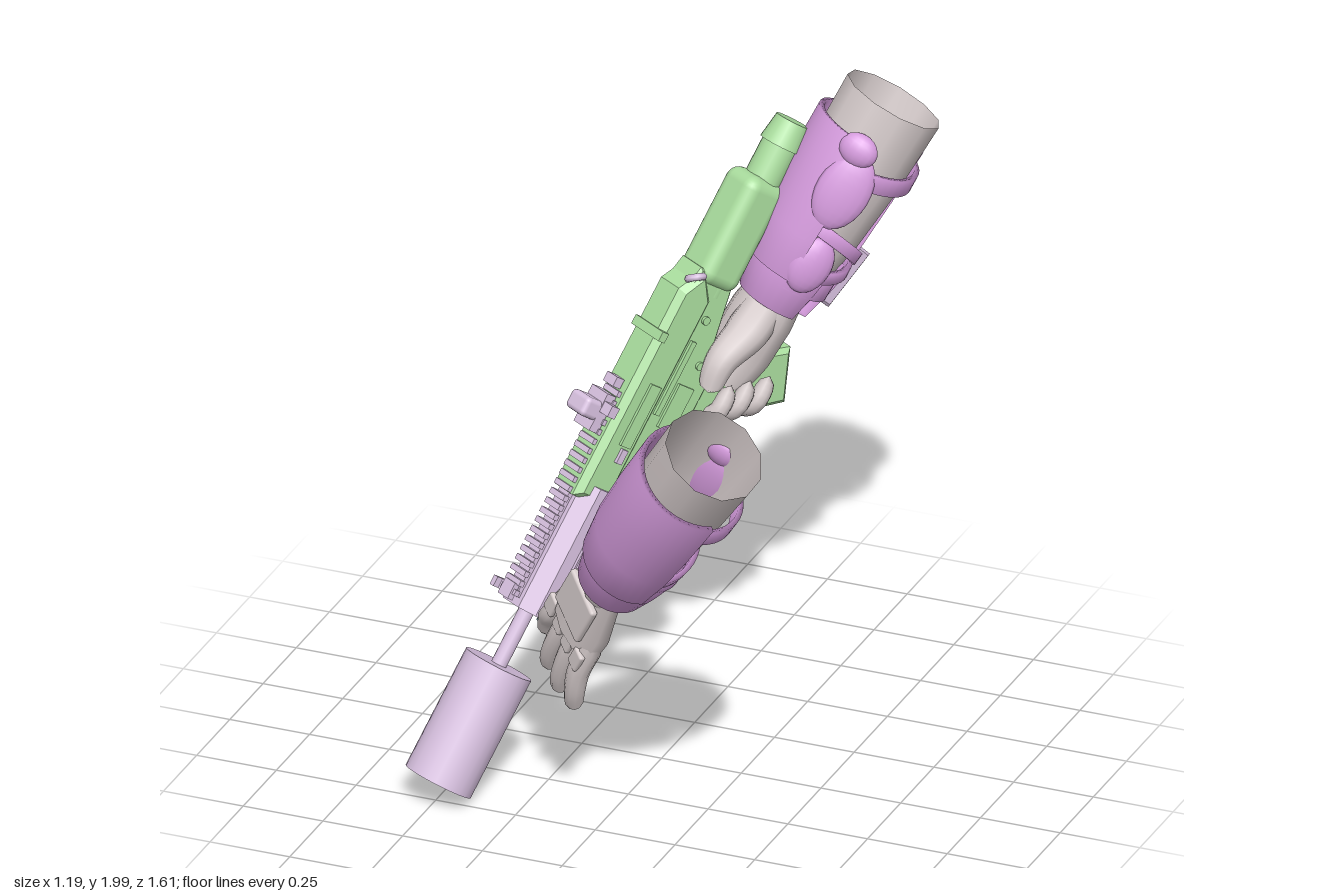
import * as THREE from 'three';
import { RoundedBoxGeometry } from 'three/addons/geometries/RoundedBoxGeometry.js';

const V = (x, y, z) => new THREE.Vector3(x, y, z);
const paint = (name, color, side = THREE.FrontSide) => {
  const m = new THREE.MeshStandardMaterial({ color, side });
  m.name = name;
  return m;
};

export function createModel() {
  const skin = paint('warm grey', 0xd4caca, THREE.DoubleSide);
  const armor = paint('orchid', 0xd69cde, THREE.DoubleSide);
  const metal = paint('pale mauve', 0xd9c2e1);
  const green = paint('leaf green', 0xaadd9e);
  const blue = paint('sky blue', 0x98d8ea);

  const model = new THREE.Group();
  model.name = 'riflePose';

  const add = (parent, name, geo, mat, pos = [0, 0, 0], rot = [0, 0, 0]) => {
    const m = new THREE.Mesh(geo, mat);
    m.name = name;
    m.position.set(...pos);
    m.rotation.set(...rot);
    parent.add(m);
    return m;
  };
  const box = (parent, name, size, mat, pos, rot) =>
    add(parent, name, new THREE.BoxGeometry(...size), mat, pos, rot);
  // group with y along one direction and x as near as possible to another
  const frame = (name, origin, yDir, xHint) => {
    const g = new THREE.Group();
    const y = yDir.clone().normalize();
    const x = xHint.clone().addScaledVector(y, -xHint.dot(y)).normalize();
    g.quaternion.setFromRotationMatrix(new THREE.Matrix4().makeBasis(x, y, x.clone().cross(y)));
    g.position.copy(origin);
    g.name = name;
    model.add(g);
    return g;
  };
  // round-ended tapered tube through points
  const limb = (parent, name, pts, radii, mat, cap = 0.12) => {
    const n = 20, seg = 10;
    const curve = new THREE.CatmullRomCurve3(pts.map(p => V(...p)));
    const geo = new THREE.TubeGeometry(curve, n, 1, seg, false);
    const p = geo.attributes.position, v = V(0, 0, 0);
    for (let i = 0; i <= n; i++) {
      const u = i / n, c = curve.getPointAt(u), k = u * (radii.length - 1), f = Math.min(Math.floor(k), radii.length - 2);
      const e = Math.max(0, (cap - Math.min(u, 1 - u)) / cap);
      const r = THREE.MathUtils.lerp(radii[f], radii[f + 1], k - f) * Math.sqrt(Math.max(0, 1 - e * e));
      for (let j = 0; j <= seg; j++) {
        const q = i * (seg + 1) + j;
        v.fromBufferAttribute(p, q).sub(c).multiplyScalar(r).add(c);
        p.setXYZ(q, v.x, v.y, v.z);
      }
    }
    return add(parent, name, geo, mat);
  };
  const lathe = (pts, seg, start = 0, len = Math.PI * 2) =>
    new THREE.LatheGeometry(pts.map(p => new THREE.Vector2(...p)), seg, start, len);

  // ---------- rifle: x = its left, y = its top, z = muzzle, origin at muzzle ----------
  const gun = frame('rifle', V(-0.495, 0.065, 0.495), V(-0.457, 0.552, 0.697), V(0.836, 0, 0.548));
  const rod = (name, r0, r1, z0, z1, mat, y = 0, seg = 24) =>
    add(gun, name, new THREE.CylinderGeometry(r1, r0, z1 - z0, seg), mat, [0, y, (z0 + z1) / 2], [Math.PI / 2, 0, 0]);
  // side outline of (z, y) points, extruded across the width
  const sidePlate = (name, pts, width, mat, bevel = 0.008) => {
    const geo = new THREE.ExtrudeGeometry(new THREE.Shape(pts.map(p => new THREE.Vector2(...p))),
      { depth: width - 2 * bevel, bevelSize: bevel, bevelThickness: bevel, bevelSegments: 1 });
    geo.translate(0, 0, -width / 2 + bevel).rotateY(-Math.PI / 2);
    return add(gun, name, geo, mat);
  };

  rod('suppressor', 0.106, 0.106, -0.385, 0, metal);
  rod('barrel', 0.024, 0.024, -0.62, -0.38, metal, 0, 14);

  // chamfered handguard with rails on top and sides
  const hs = new THREE.Shape([[-0.08, -0.1], [-0.045, -0.14], [0.045, -0.14], [0.08, -0.1],
    [0.08, 0.03], [0.04, 0.07], [-0.04, 0.07], [-0.08, 0.03]].map(p => new THREE.Vector2(...p)));
  add(gun, 'handguard', new THREE.ExtrudeGeometry(hs, { depth: 0.415, bevelEnabled: false }), metal, [0, 0, -0.98]);
  box(gun, 'topRail', [0.05, 0.02, 0.68], metal, [0, 0.075, -0.93]);
  for (let i = 0; i < 22; i++) box(gun, 'topRailRib', [0.07, 0.018, 0.017], metal, [0, 0.094, -0.6 - i * 0.031]);
  for (const s of [-1, 1]) {
    box(gun, 'sideRail', [0.012, 0.05, 0.38], metal, [s * 0.084, -0.035, -0.78]);
    for (let i = 0; i < 8; i++) box(gun, 'sideRailRib', [0.01, 0.04, 0.026], metal, [s * 0.093, -0.035, -0.62 - i * 0.045]);
    for (let i = 0; i < 3; i++) box(gun, 'handguardPanel', [0.006, 0.022, 0.085], metal, [s * 0.081, -0.085, -0.66 - i * 0.12]);
  }
  box(gun, 'handguardHook', [0.06, 0.025, 0.03], metal, [-0.1, 0.02, -0.59], [0, 0, -0.3]);
  box(gun, 'hookTip', [0.018, 0.045, 0.03], metal, [-0.122, 0.035, -0.59]);
  box(gun, 'frontSight', [0.05, 0.02, 0.05], metal, [0, 0.1, -0.6]);

  // vertical foregrip
  add(gun, 'foregrip', lathe([[0, -0.375], [0.042, -0.375], [0.048, -0.365], [0.046, -0.12], [0, -0.12]], 18), metal, [0, 0, -0.845]);

  // sling ring
  const ring = new THREE.CatmullRomCurve3([[-0.05, 0.02], [-0.035, 0.032], [0.035, 0.032], [0.05, 0.02],
    [0.05, -0.02], [0.035, -0.032], [-0.035, -0.032], [-0.05, -0.02]].map(p => V(p[0], p[1], 0)), true, 'catmullrom', 0.3);
  add(gun, 'slingRing', new THREE.TubeGeometry(ring, 40, 0.011, 6, true), blue, [-0.01, -0.14, -0.545]);

  // receiver, magazine well, grip, stock
  sidePlate('receiver', [[-0.95, 0.06], [-0.95, -0.11], [-1.02, -0.14], [-1.05, -0.27], [-1.15, -0.27], [-1.15, -0.17],
    [-1.4, -0.17], [-1.5, -0.12], [-1.68, -0.08], [-1.68, 0.045], [-1.6, 0.065]], 0.11, green);
  sidePlate('upperReceiver', [[-0.95, 0.07], [-0.95, -0.02], [-1.6, -0.02], [-1.66, 0.03], [-1.6, 0.07]], 0.13, green, 0.02);
  sidePlate('pistolGrip', [[-1.27, -0.14], [-1.32, -0.3], [-1.42, -0.475], [-1.55, -0.41], [-1.45, -0.21], [-1.43, -0.12]], 0.085, green, 0.015);
  const guard = new THREE.CatmullRomCurve3([[-1.14, -0.17], [-1.16, -0.245], [-1.25, -0.255], [-1.31, -0.2]].map(p => V(0, p[1], p[0])));
  add(gun, 'triggerGuard', new THREE.TubeGeometry(guard, 14, 0.013, 6), green);
  box(gun, 'trigger', [0.02, 0.07, 0.02], green, [0, -0.2, -1.23], [0.3, 0, 0]);
  add(gun, 'stockBody', new RoundedBoxGeometry(0.145, 0.15, 0.35, 3, 0.04), green, [0, -0.03, -1.82]);
  rod('stockTube', 0.056, 0.056, -2.14, -1.62, green, -0.045);
  rod('buttCap', 0.052, 0.064, -2.18, -2.1, green, -0.045);
  box(gun, 'chargingHandle', [0.14, 0.025, 0.03], green, [0.01, 0.085, -1.46]);
  box(gun, 'rearRail', [0.05, 0.03, 0.2], green, [0, 0.075, -1.4]);
  // details on the left side
  box(gun, 'sidePanel', [0.012, 0.04, 0.2], green, [0.068, 0.015, -1.22]);
  box(gun, 'lowerPanel', [0.012, 0.06, 0.14], green, [0.058, -0.1, -1.28]);
  box(gun, 'wellPanel', [0.012, 0.1, 0.06], green, [0.058, -0.19, -1.1]);
  box(gun, 'receiverRib', [0.014, 0.018, 0.24], green, [0.058, -0.045, -1.36]);
  box(gun, 'boltCatch', [0.016, 0.022, 0.045], metal, [0.068, 0.01, -1.09]);
  for (const [y, z] of [[-0.06, -1.02], [-0.11, -1.42], [-0.05, -1.55]])
    add(gun, 'pin', new THREE.CylinderGeometry(0.013, 0.013, 0.016, 10), green, [0.056, y, z], [0, 0, Math.PI / 2]);
  add(gun, 'slingLoop', new THREE.TorusGeometry(0.022, 0.012, 6, 14), metal, [0.058, 0.062, -1.655], [0.4, 0.5, 0]);
  // thin plate hanging below the stock
  sidePlate('hangingPlate', [[-1.95, -0.3], [-1.9, -0.535], [-1.725, -0.49], [-1.755, -0.3]], 0.03, metal);

  // optic
  box(gun, 'opticBase', [0.08, 0.035, 0.12], metal, [-0.01, 0.115, -1.18]);
  add(gun, 'opticHousing', new RoundedBoxGeometry(0.09, 0.075, 0.06, 2, 0.015), metal, [-0.015, 0.15, -1.18]);
  box(gun, 'opticKnob', [0.04, 0.03, 0.035], metal, [0.05, 0.115, -1.2]);
  box(gun, 'backupSight', [0.05, 0.03, 0.03], metal, [0, 0.11, -1.28]);

  // ---------- forearms: y from wrist to elbow, x through the open side of the guard ----------
  const forearm = (name, wrist, elbow, side) => {
    const g = frame(name, wrist, elbow.clone().sub(wrist), V(1, 0, 0));
    const L = elbow.distanceTo(wrist), open = Math.PI / 2;
    add(g, 'forearmSleeve', lathe([[0.068, -0.07], [0.09, 0.05], [0.13, 0.25], [0.148, 0.45], [0.155, L]], 11), skin);
    add(g, 'wristCuff', lathe([[0.085, -0.01], [0.11, -0.01], [0.135, 0.09], [0.15, 0.17], [0.13, 0.18], [0.085, -0.01]], 20,
      open + 0.5, Math.PI * 2 - 1), armor);
    add(g, 'forearmPlate', lathe([[0.12, 0.1], [0.145, 0.1], [0.168, 0.24], [0.178, 0.4], [0.182, 0.575], [0.165, 0.575],
      [0.15, 0.35], [0.12, 0.1]], 24, open + (side > 0 ? 0.85 : 1.2), Math.PI * 2 - 2.05), armor);
    // straps bridging the open side
    const strap = (y, r, tilt, w = 0.04) => add(g, 'strap',
      lathe([[r - 0.01, -w / 2], [r + 0.006, -w / 2], [r + 0.006, w / 2], [r - 0.01, w / 2], [r - 0.01, -w / 2]], 20,
        open - 1.35, 2.7), armor, [0, y, 0], [tilt, 0, 0]);
    strap(0.5, 0.17, side * 0.14, 0.055);
    strap(0.24, 0.147, side * -0.3);
    strap(0.17, 0.142, side * 0.25);
    strap(0.1, 0.124, 0, 0.06);
    // rounded pads at the edge of the open side
    const pad = (y, r, a, sx, sy) => {
      const m = add(g, 'pad', new THREE.SphereGeometry(1, 16, 12), armor,
        [Math.sin(a) * r, y, side * Math.cos(a) * r], [0, side > 0 ? a : Math.PI - a, 0]);
      m.scale.set(sx, sy, 0.032);
    };
    pad(0.42, 0.16, 0.35, 0.08, 0.125);
    pad(0.17, 0.13, 0.6, 0.065, 0.09);
    pad(0.55, 0.165, 0.2, 0.06, 0.05);
    return g;
  };
  const rightArm = forearm('rightForearm', V(0.17, 1.33, -0.44), V(0.452, 1.92, -0.665), 1);
  const wristL = V(0.05, 0.82, 0.48);
  forearm('leftForearm', wristL, V(0.438, 1.378, 0.655), -1);

  // handle on the right arm
  const handle = new THREE.CatmullRomCurve3([[0.035, 0.165], [0.035, 0.2], [-0.035, 0.2], [-0.035, 0.165]].map(p => V(0, p[0], -p[1])));
  add(rightArm, 'handle', new THREE.TubeGeometry(handle, 16, 0.011, 6), blue, [0, 0.46, 0], [0, 0.6, 0]);

  // ---------- left hand, open: x = index side, y = fingers, z = back of hand ----------
  const hand = frame('leftHand', V(0.025, 0.815, 0.465), V(-0.23, -0.415, -0.1), V(-0.18, 0.09, -0.16));
  limb(hand, 'palm', [[0, -0.07, 0], [0, 0.06, 0], [0, 0.17, 0], [0, 0.28, 0]], [0.085, 0.1, 0.128, 0.115], skin).scale.z = 0.5;
  const lengths = [0.43, 0.49, 0.49, 0.46];
  for (let i = 0; i < 4; i++) {
    const x = 0.09 - i * 0.06, t = x * 1.35, l = lengths[i];
    limb(hand, 'finger', [[x, 0.2, 0], [(x + t) / 2, 0.31, 0.012], [t, l - 0.07, 0], [t * 1.05, l, -0.025]],
      [0.036, 0.035, 0.032, 0.027], skin);
    add(hand, 'knucklePlate', new RoundedBoxGeometry(0.05, 0.065, 0.02, 2, 0.008), skin, [x * 1.1, 0.26, 0.038]);
  }
  limb(hand, 'thumb', [[0.05, 0.05, -0.01], [0.09, 0.14, -0.075], [0.105, 0.23, -0.135], [0.09, 0.32, -0.17]],
    [0.05, 0.055, 0.038, 0.03], skin);
  add(hand, 'handPlate', new RoundedBoxGeometry(0.17, 0.14, 0.025, 2, 0.01), skin, [0, 0.13, 0.052]);

  // ---------- right hand, closed around the grip, in rifle space ----------
  limb(gun, 'rightPalm', [[0.035, -0.27, -1.76], [0.025, -0.26, -1.62], [0, -0.27, -1.5], [-0.025, -0.27, -1.38]],
    [0.08, 0.1, 0.098, 0.078], skin);
  for (let i = 0; i < 3; i++) {
    const b = -0.235 - i * 0.058, o = -0.025 - i * 0.034;
    limb(gun, 'rightFinger', [[-0.05, b, -1.44 + o], [-0.06, b, -1.32 + o], [-0.005, b - 0.01, -1.26 + o],
      [0.065, b - 0.01, -1.29 + o], [0.07, b - 0.01, -1.38 + o]], [0.034, 0.034, 0.032, 0.03, 0.027], skin);
  }
  limb(gun, 'rightIndex', [[-0.05, -0.19, -1.42], [-0.065, -0.18, -1.32], [-0.035, -0.2, -1.23], [0.03, -0.215, -1.21]],
    [0.036, 0.034, 0.03, 0.026], skin);
  limb(gun, 'rightThumb', [[0.045, -0.24, -1.67], [0.08, -0.19, -1.56], [0.085, -0.15, -1.46], [0.075, -0.17, -1.36]],
    [0.062, 0.066, 0.05, 0.034], skin);
  add(gun, 'rightHandPlate', new RoundedBoxGeometry(0.025, 0.14, 0.13, 2, 0.01), skin, [-0.085, -0.27, -1.5], [0, 0.25, 0]);

  return model;
}
